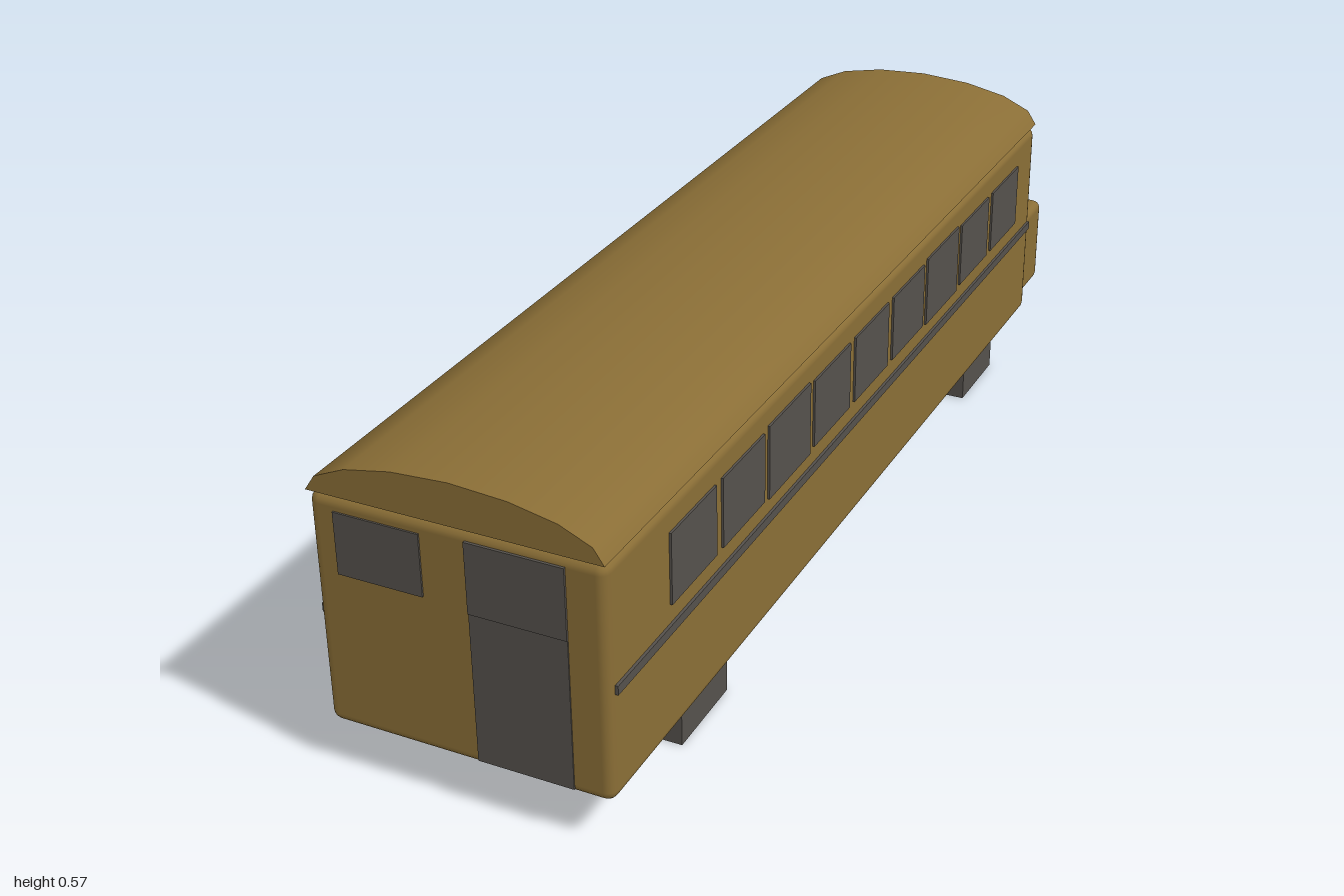
import * as THREE from 'three';
import { toCreasedNormals } from 'three/addons/utils/BufferGeometryUtils.js';
import { RoundedBoxGeometry } from 'three/addons/geometries/RoundedBoxGeometry.js';

const paint = new THREE.MeshStandardMaterial({ color: 0x8a6e36 });
paint.name = 'ochre paint';
const dark = new THREE.MeshStandardMaterial({ color: 0x55514c });
dark.name = 'dark grey';

export function createModel() {
  const bus = new THREE.Group();
  bus.name = 'bus';

  // Adds a mesh from its min and max corners; a radius rounds the edges
  function block(name, material, [x0, y0, z0], [x1, y1, z1], radius = 0) {
    const size = [x1 - x0, y1 - y0, z1 - z0];
    const geometry = radius
      ? new RoundedBoxGeometry(...size, 2, radius)
      : new THREE.BoxGeometry(...size);
    const mesh = new THREE.Mesh(geometry, material);
    mesh.name = name;
    mesh.position.set((x0 + x1) / 2, (y0 + y1) / 2, (z0 + z1) / 2);
    bus.add(mesh);
    return mesh;
  }

  // Body and rear engine housing
  block('body', paint, [-0.25, 0.08, -0.872], [0.25, 0.494, 0.996], 0.018);
  block('engineHousing', paint, [-0.24, 0.095, -1], [0.235, 0.277, -0.84], 0.016);

  // Arched roof: half profile mirrored, then extruded along the bus
  const half = [[0.25, 0.497], [0.232, 0.524], [0.178, 0.548], [0.097, 0.564]];
  const profile = [
    ...half,
    [0, 0.57],
    ...half.map(([x, y]) => [-x, y]).reverse(),
  ].map(([x, y]) => new THREE.Vector2(x, y));
  const roofGeometry = new THREE.ExtrudeGeometry(new THREE.Shape(profile), {
    depth: 1.87, bevelEnabled: false,
  });
  const roof = new THREE.Mesh(toCreasedNormals(roofGeometry, 0.6), paint);
  roof.name = 'roof';
  roof.position.z = -0.872;
  bus.add(roof);
  // Narrow seam between body and roof
  block('roofSeam', paint, [-0.235, 0.485, -0.86], [0.235, 0.4975, 0.985]);

  // Windscreen and door on the front face
  block('windscreen', dark, [-0.205, 0.362, 0.992], [-0.057, 0.47, 0.999]);
  block('door', dark, [0.02, 0.09, 0.992], [0.185, 0.355, 0.998]);
  block('doorWindow', dark, [0.02, 0.355, 0.992], [0.185, 0.478, 1]);

  // Side windows and rub rails; the third and seventh panes are slightly larger
  for (const side of [-1, 1]) {
    const sideName = side > 0 ? 'left' : 'right';
    for (let i = 0; i < 9; i++) {
      const z = 0.727 - i * 0.1765;
      const grow = i === 2 || i === 6 ? 0.005 : 0;
      const w = 0.077 + grow;
      const pane = block(`${sideName}Window${i + 1}`, dark,
        [-0.004, 0.319 - grow, z - w], [0.004, 0.444 + grow, z + w]);
      pane.position.x = side * 0.25;
    }
    const rail = block(`${sideName}Rail`, dark,
      [-0.004, 0.27, -0.855], [0.004, 0.286, 0.98]);
    rail.position.x = side * 0.251;

    // Blocky wheels
    for (const [end, z] of [['Front', 0.645], ['Rear', -0.645]]) {
      const wheel = block(`${sideName}${end}Wheel`, dark,
        [-0.0415, 0, z - 0.083], [0.0415, 0.1, z + 0.083]);
      wheel.position.x = side * 0.1875 - 0.002;
    }
  }
  return bus;
}
